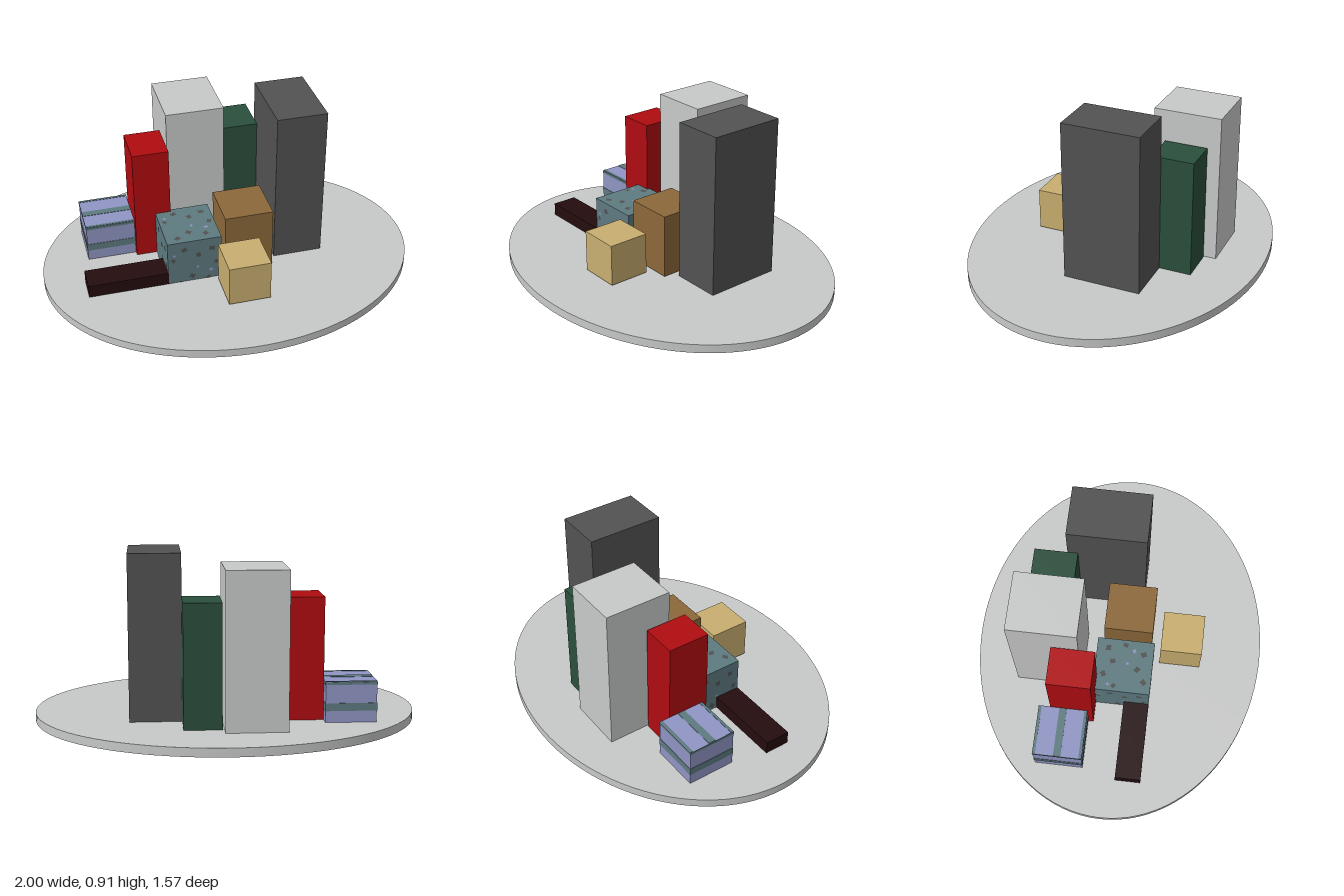
import * as THREE from 'three';

const mat = (name, color) => {
  const m = new THREE.MeshStandardMaterial({ color });
  m.name = name;
  return m;
};

export function createModel() {
  const model = new THREE.Group();
  const lightGrey = mat('light grey', 0xc8cac9);
  const darkGrey = mat('dark grey', 0x525252);
  const green = mat('dark green', 0x2b4f3c);
  const red = mat('red', 0xb00c10);
  const brown = mat('brown', 0x8c683a);
  const tan = mat('tan', 0xc8ae70);
  const teal = mat('teal', 0x5e7b80);
  const lavender = mat('lavender', 0x9095c4);
  const blackBrown = mat('black brown', 0x240c0e);

  // Box given by its limits on each axis
  const block = (name, material, [x0, x1], [y0, y1], [z0, z1], parent = model) => {
    const mesh = new THREE.Mesh(new THREE.BoxGeometry(x1 - x0, y1 - y0, z1 - z0), material);
    mesh.position.set((x0 + x1) / 2, (y0 + y1) / 2, (z0 + z1) / 2);
    mesh.name = name;
    parent.add(mesh);
    return mesh;
  };

  // Oval base plate
  const base = new THREE.Mesh(new THREE.CylinderGeometry(1, 1, 0.045, 96), lightGrey);
  base.scale.z = 0.785;
  base.position.y = 0.0325;
  base.name = 'basePlate';
  model.add(base);

  // Plain blocks; most of them reach just through the plate
  block('whiteTower', lightGrey, [-0.277, 0.034], [0.002, 0.853], [-0.54, -0.182]);
  block('greyTower', darkGrey, [0.237, 0.505], [0.002, 0.91], [-0.303, 0.11]);
  block('greenTower', green, [0.044, 0.237], [0.002, 0.688], [-0.475, -0.248]);
  block('redTower', red, [-0.48, -0.286], [0.002, 0.688], [-0.32, -0.094]);
  block('brownCube', brown, [-0.055, 0.205], [0.06, 0.403], [-0.08, 0.18]);
  block('tanCube', tan, [-0.107, 0.115], [0.065, 0.289], [0.23, 0.453]);
  block('lowBar', blackBrown, [-0.79, -0.366], [0, 0.125], [0.06, 0.197]);

  // Striped cube: bands round the sides and across the top and bottom
  const striped = new THREE.Group();
  striped.name = 'stripedCube';
  model.add(striped);
  block('stripedBody', lavender, [-0.742, -0.481], [0.004, 0.265], [-0.38, -0.122], striped);
  for (const [y0, y1] of [[0.115, 0.155], [0.25, 0.264]])
    block('sideBand', teal, [-0.744, -0.479], [y0, y1], [-0.382, -0.12], striped);
  for (const [z0, z1] of [[-0.379, -0.366], [-0.271, -0.231], [-0.137, -0.123]])
    block('topBand', teal, [-0.741, -0.482], [0.002, 0.267], [z0, z1], striped);

  // Speckled block
  const speckled = new THREE.Group();
  speckled.name = 'speckledBlock';
  model.add(speckled);
  const size = [0.29, 0.306, 0.307];
  const body = new THREE.Mesh(new THREE.BoxGeometry(...size), teal);
  body.name = 'speckledBody';
  speckled.add(body);
  speckled.position.set(-0.224, 0.157, 0.043);

  // Irregular spots: u, v from the face centre (-0.5..0.5), then radius
  const darkSpots = [[-0.4, 0.14, 0.016], [-0.19, 0.34, 0.02], [0.07, 0.2, 0.019], [0.32, 0.3, 0.02],
    [0.4, 0.0, 0.017], [-0.05, -0.24, 0.02], [-0.28, -0.37, 0.02], [0.25, -0.33, 0.02]];
  const paleSpots = [[-0.38, 0.24, 0.01], [0.3, -0.16, 0.013], [0.05, -0.06, 0.01]];
  const outline = [1, 0.6, 1.05, 0.75, 0.95, 0.55, 1.1, 0.7];
  const spotGeometry = (r, turn) => new THREE.ShapeGeometry(new THREE.Shape(
    outline.map((k, i) => {
      const a = turn + i * Math.PI / 4;
      return new THREE.Vector2(Math.cos(a) * k * r, Math.sin(a) * k * r);
    })));
  const addSpots = (name, w, h, d, rx, ry) => {
    const face = new THREE.Group();
    face.name = name;
    face.rotation.set(rx, ry, 0);
    for (const [list, material] of [[darkSpots, darkGrey], [paleSpots, lavender]])
      list.forEach(([u, v, r], i) => {
        const spot = new THREE.Mesh(spotGeometry(r, i * 1.3), material);
        spot.position.set(u * w, v * h, d / 2 + 0.0015);
        spot.name = 'spot';
        face.add(spot);
      });
    speckled.add(face);
  };
  const [w, h, d] = size;
  addSpots('frontSpots', w, h, d, 0, 0);
  addSpots('backSpots', w, h, d, 0, Math.PI);
  addSpots('leftSpots', d, h, w, 0, Math.PI / 2);
  addSpots('rightSpots', d, h, w, 0, -Math.PI / 2);
  addSpots('topSpots', w, d, h, -Math.PI / 2, 0);
  addSpots('bottomSpots', w, d, h, Math.PI / 2, 0);

  return model;
}
